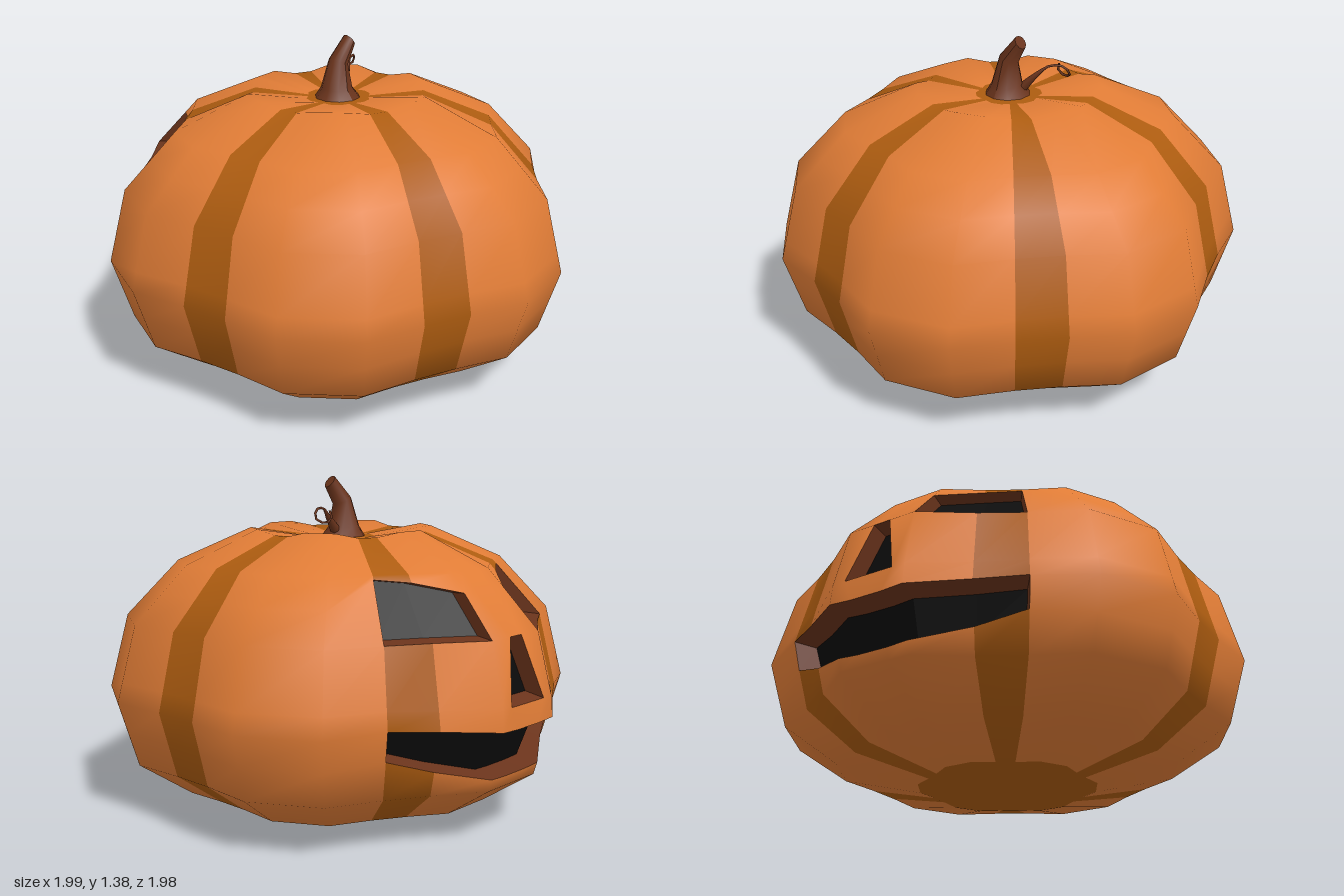
import * as THREE from 'three';

const ORANGE = 0xe07c36, OLIVE = 0xad5c10, BROWN = 0x6b341c, BLACK = 0x0b0b0b;
const rad = THREE.MathUtils.degToRad;

// body profile: [radius, height]
const PROFILE = [[0.37, 0], [0.7, 0.07], [0.92, 0.22], [1, 0.49], [0.92, 0.8], [0.7, 1.03], [0.39, 1.165]];
const ROWS = [0, 0.07, 0.22, 0.36, 0.49, 0.57, 0.8, 0.92, 1.03, 1.165];
const LOBE = 9.5, RIB = 6.3, RIB_SCALE = 0.925;
const FACE_START = 16; // index of the first column line of the carved face

// heights of the carved rows, from the outer edge of the face to its middle
const FACE_ROWS = {
  3: [0.38, 0.32, 0.27, 0.265], // mouth bottom
  4: [0.5, 0.485, 0.465, 0.46], // mouth top
  5: [0.57, 0.56, 0.55, 0.55],  // nose bottom
  7: [1.015, 1.0, 0.96, 0.95],  // eye top
};

// holes: row of cells and range of column lines
const HOLES = [
  { name: 'rightEye', row: 6, from: 16, to: 18, depth: 0.07, shrink: 0.92 },
  { name: 'leftEye', row: 6, from: 21, to: 23, depth: 0.07, shrink: 0.92 },
  { name: 'nose', row: 5, from: 19, to: 20, depth: 0.07, shrink: 0.85 },
  { name: 'mouth', row: 3, from: 16, to: 23, depth: 0.09, shrink: 0.8 },
];

function material(color, extra = {}) {
  return new THREE.MeshStandardMaterial({ color, ...extra });
}

function addMesh(group, name, geometry, mat) {
  const mesh = new THREE.Mesh(geometry, mat);
  mesh.name = name;
  group.add(mesh);
}

function radiusAt(y) {
  for (let i = 1; i < PROFILE.length; i++) {
    const [r0, y0] = PROFILE[i - 1], [r1, y1] = PROFILE[i];
    if (y <= y1) return r0 + (r1 - r0) * (y - y0) / (y1 - y0);
  }
  return PROFILE[PROFILE.length - 1][0];
}

// column lines around the body: two rib edges and two lobe edges per sixth
function columnLines() {
  const lines = [];
  for (let k = 0; k < 6; k++) {
    const c = -15 + 60 * k;
    lines.push({ angle: c - RIB, scale: RIB_SCALE, rib: true }, { angle: c + RIB, scale: RIB_SCALE });
    lines.push({ angle: c + 30 - LOBE, scale: 1 });
    if (k === 4) lines.push({ angle: c + 30, scale: 1, nose: -1 }, { angle: c + 30, scale: 1, nose: 1 });
    lines.push({ angle: c + 30 + LOBE, scale: 1 });
  }
  return lines;
}

function bodyPoint(line, i, row) {
  const f = i - FACE_START;
  let { angle, scale } = line;
  let y, r;
  if (row === ROWS.length) { // dished ring around the stem
    y = 1.125; r = 0.14;
  } else {
    y = f >= 0 && f < 8 && FACE_ROWS[row] ? FACE_ROWS[row][Math.min(f, 7 - f)] : ROWS[row];
    r = radiusAt(y);
  }
  if (line.nose) { // the nose is narrow at its top and wide at its foot
    const half = row === 5 ? 6.3 : row === 6 ? 2.3 : 4;
    angle += line.nose * half;
    scale = Math.cos(rad(LOBE)) / Math.cos(rad(half));
  }
  if (row === ROWS.length - 1 && scale < 0.95) y -= 0.02;
  return new THREE.Vector3(Math.cos(rad(angle)) * r * scale, y, Math.sin(rad(angle)) * r * scale);
}

// triangles from a list of quads, each of four points
function quadGeometry(quads) {
  const points = quads.flatMap(([a, b, c, d]) => [a, b, c, a, c, d]);
  const geometry = new THREE.BufferGeometry().setFromPoints(points);
  geometry.computeVertexNormals();
  return geometry;
}

function buildBody(group) {
  const lines = columnLines(), n = lines.length, rowCount = ROWS.length + 1;
  const points = [], skin = [], ribs = [];
  for (let row = 0; row < rowCount; row++) lines.forEach((l, i) => points.push(bodyPoint(l, i, row)));
  const at = (row, i) => row * n + (i % n);
  for (let row = 0; row < rowCount - 1; row++) {
    for (let i = 0; i < n; i++) {
      if (HOLES.some(h => h.row === row && i >= h.from && i < h.to)) continue;
      const a = at(row, i + 1), b = at(row, i), c = at(row + 1, i), d = at(row + 1, i + 1);
      (lines[i].rib ? ribs : skin).push(a, b, c, a, c, d);
    }
  }
  // skin and ribs share their smooth normals
  const whole = new THREE.BufferGeometry().setFromPoints(points);
  whole.setIndex([...skin, ...ribs]);
  whole.computeVertexNormals();
  const skinGeometry = whole.clone().setIndex(skin), ribGeometry = whole.clone().setIndex(ribs);
  addMesh(group, 'skin', skinGeometry, material(ORANGE));
  addMesh(group, 'ribs', ribGeometry, material(OLIVE));

  // base and the disc under the stem
  for (const [name, row, up] of [['base', 0, false], ['stemDisc', rowCount - 1, true]]) {
    const ring = lines.map((l, i) => points[at(row, i)]);
    const centre = new THREE.Vector3(0, ring[0].y, 0);
    const fan = ring.map((p, i) => {
      const q = ring[(i + 1) % n];
      return up ? [centre, q, p, centre] : [centre, p, q, centre];
    });
    addMesh(group, name, quadGeometry(fan), material(OLIVE));
  }

  // carved openings: cut flesh around a dark recess
  for (const hole of HOLES) {
    const low = [], high = [];
    for (let i = hole.from; i <= hole.to; i++) {
      low.push(points[at(hole.row, i)]);
      high.push(points[at(hole.row + 1, i)]);
    }
    const loop = [...low, ...[...high].reverse()];
    const centre = loop.reduce((s, p) => s.add(p), new THREE.Vector3()).divideScalar(loop.length);
    const middleY = low.map((p, i) => (p.y + high[i].y) / 2);
    const inward = new THREE.Vector3(-centre.x, 0, -centre.z).normalize();
    const sink = (p, i) => {
      const q = p.clone();
      if (hole.name === 'mouth') { // follows the curve of the body
        q.addScaledVector(new THREE.Vector3(-p.x, 0, -p.z).normalize(), hole.depth);
        q.y = middleY[i] + (p.y - middleY[i]) * hole.shrink;
      } else {
        q.lerp(centre, 1 - hole.shrink).addScaledVector(inward, hole.depth);
      }
      return q;
    };
    const innerLow = low.map(sink), innerHigh = high.map(sink);
    const inner = [...innerLow, ...[...innerHigh].reverse()];
    const rim = loop.map((p, i) => {
      const j = (i + 1) % loop.length;
      return [p, loop[j], inner[j], inner[i]];
    });
    const panel = innerLow.slice(1).map((p, i) => [p, innerLow[i], innerHigh[i], innerHigh[i + 1]]);
    addMesh(group, hole.name + 'Rim', quadGeometry(rim), material(BROWN, { side: THREE.DoubleSide }));
    addMesh(group, hole.name + 'Recess', quadGeometry(panel), material(BLACK, { side: THREE.DoubleSide }));
  }
}

// crooked stem: rings of [x, y, radius, tilt]
function buildStem(group) {
  const rings = [[0.06, 1.357, 0.03, 0.92], [0, 1.275, 0.042, 0.35], [-0.01, 1.165, 0.068, 0], [-0.005, 1.12, 0.1, 0]];
  const geometry = new THREE.CylinderGeometry(1, 1, 3, 10, 3);
  const pos = geometry.attributes.position;
  for (let i = 0; i < pos.count; i++) {
    const [x, y, r, tilt] = rings[Math.round(1.5 - pos.getY(i))];
    const px = pos.getX(i) * r, pz = pos.getZ(i) * r;
    pos.setXYZ(i, x + px * Math.cos(tilt), y - px * Math.sin(tilt), pz);
  }
  geometry.computeVertexNormals();
  addMesh(group, 'stem', geometry, material(BROWN));
}

// curling tendril, thinner towards its tip
function buildTendril(group) {
  const path = [[0.03, 1.13, -0.02], [0.1, 1.21, -0.055], [0.145, 1.25, -0.09], [0.195, 1.248, -0.12],
    [0.212, 1.215, -0.14], [0.18, 1.195, -0.16], [0.145, 1.21, -0.155], [0.15, 1.245, -0.15]];
  const curve = new THREE.CatmullRomCurve3(path.map(p => new THREE.Vector3(...p)));
  const segments = 14, sides = 6;
  const geometry = new THREE.TubeGeometry(curve, segments, 0.026, sides);
  const pos = geometry.attributes.position, p = new THREE.Vector3();
  for (let i = 0; i < pos.count; i++) {
    const t = Math.floor(i / (sides + 1)) / segments;
    const centre = curve.getPointAt(t);
    p.fromBufferAttribute(pos, i).sub(centre).multiplyScalar(Math.max(0.2, 1 - 2 * t)).add(centre);
    pos.setXYZ(i, p.x, p.y, p.z);
  }
  addMesh(group, 'tendril', geometry, material(BROWN, { side: THREE.DoubleSide }));
}

export function createModel() {
  const model = new THREE.Group();
  model.name = 'carvedPumpkin';
  buildBody(model);
  buildStem(model);
  buildTendril(model);
  return model;
}
